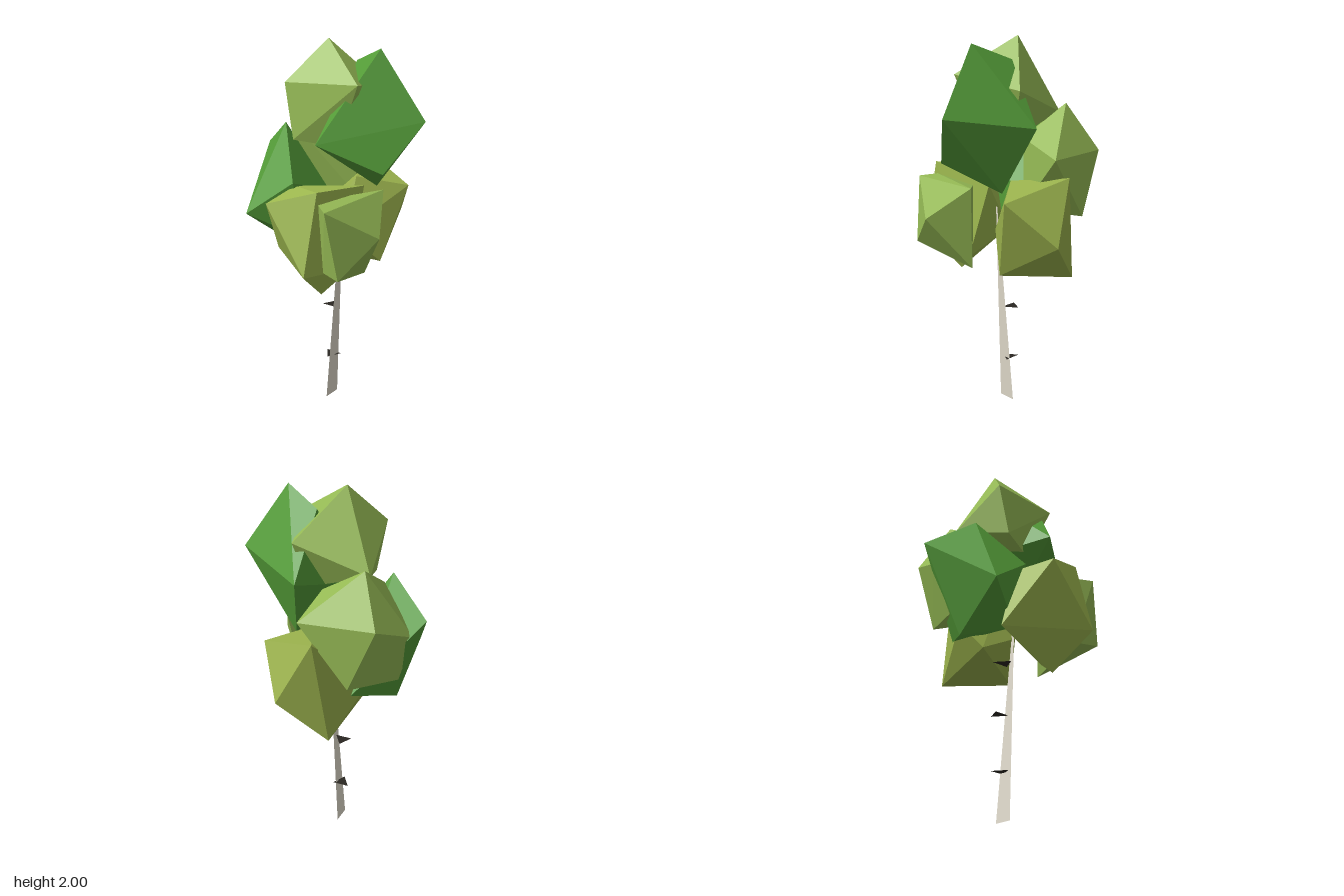
import * as THREE from 'three';
import { ConvexGeometry } from 'three/addons/geometries/ConvexGeometry.js';

const vectors = (points) => points.map((p) => new THREE.Vector3(...p));

// Thin triangle or quad, visible from both sides
function flatPiece(points, material, name) {
  const geometry = new THREE.BufferGeometry().setFromPoints(vectors(points));
  geometry.setIndex(points.length === 4 ? [0, 1, 2, 0, 2, 3] : [0, 1, 2]);
  const flat = geometry.toNonIndexed();
  flat.computeVertexNormals();
  const mesh = new THREE.Mesh(flat, material);
  mesh.name = name;
  return mesh;
}

// Corner points of each faceted leaf clump
const clumps = {
  upperLeftFoliage: { color: 0x549c38, points: [
    [0.23, 1.97, 0.08], [0.458, 1.63, 0.145], [-0.07, 1.525, 0.26], [0.26, 1.38, 0.235],
    [0.22, 1.57, -0.25], [0.21, 1.235, -0.07], [0.1, 1.89, -0.085], [-0.03, 1.5, -0.08]] },
  crownFoliage: { color: 0x96bb55, points: [
    [-0.045, 2, -0.07], [-0.255, 1.79, 0.03], [0.13, 1.81, 0.21], [-0.14, 1.61, -0.27],
    [0.225, 1.75, -0.165], [-0.21, 1.505, 0.07], [0.02, 1.48, 0.1], [0.14, 1.5, -0.1]] },
  backFoliage: { color: 0x96bb55, points: [
    [-0.11, 1.66, -0.31], [-0.145, 1.42, -0.48], [-0.355, 1.3, -0.3], [-0.3, 1.02, -0.22],
    [0.215, 1.42, -0.345], [-0.225, 1.53, -0.14], [-0.02, 1.09, -0.43], [0.1, 1.15, -0.15],
    [0.08, 1.5, -0.14]] },
  lowerLeftFoliage: { color: 0x99b04c, points: [
    [0.375, 1.225, -0.135], [0.33, 1.01, -0.395], [0.235, 0.81, -0.065], [0.15, 1.325, -0.4],
    [0.07, 0.785, -0.405], [-0.16, 1.03, -0.22], [-0.15, 0.88, -0.09], [0.1, 1.28, -0.08],
    [0.05, 1, 0.02]] },
  rightFoliage: { color: 0x549c38, points: [
    [-0.275, 1.56, -0.095], [-0.41, 1.4, -0.33], [-0.463, 1.105, 0.09], [-0.305, 0.89, -0.16],
    [-0.05, 0.98, -0.3], [-0.2, 1.3, 0.16], [-0.15, 0.97, 0.08], [-0.05, 1.2, -0.1]] },
  frontRightFoliage: { color: 0x9fba50, points: [
    [-0.045, 1.325, 0.39], [-0.305, 1.245, 0.34], [-0.1, 0.915, 0.48], [-0.045, 0.735, 0.25],
    [-0.3, 0.915, 0.06], [-0.2, 1.27, 0.1], [0.1, 0.85, 0.15], [0.15, 1.26, 0.02]] },
  frontLeftFoliage: { color: 0x94b854, points: [
    [0, 1.25, 0.47], [-0.04, 1.26, 0.38], [0.255, 1.26, 0.08], [0.255, 1.08, 0.33],
    [0.065, 0.9, 0.465], [0.165, 0.81, 0.11], [-0.02, 0.9, 0.36], [0.02, 1.23, 0.15]] },
};

export function createModel() {
  const tree = new THREE.Group();
  tree.name = 'tree';

  // Flat tapering trunk
  const bark = new THREE.MeshStandardMaterial({ color: 0xe2dccd, side: THREE.DoubleSide });
  tree.add(flatPiece([[-0.05, 0, 0.022], [0, 0, -0.065], [0.04, 1.12, 0.013], [0.03, 1.12, 0.023]], bark, 'trunk'));

  // Small dark shelves of bark on the back of the trunk
  const darkBark = new THREE.MeshStandardMaterial({ color: 0x2a2722, side: THREE.DoubleSide });
  const across = new THREE.Vector3(0.82, 0, -0.57);
  const outward = new THREE.Vector3(-0.57, 0, -0.82);
  [[0.25, 0, 0.08], [0.55, 0.08, 0], [0.84, 0.01, 0.1]].forEach(([y, side, apex]) => {
    const centre = new THREE.Vector3(-0.022 + 0.046 * y, y, -0.02 + 0.032 * y);
    const corners = [[0.043, side], [-0.043, side], [0, apex]].map(([a, o]) =>
      centre.clone().addScaledVector(across, a).addScaledVector(outward, o).toArray());
    tree.add(flatPiece(corners, darkBark, 'barkMark'));
  });

  // Faceted leaf clumps
  for (const [name, { color, points }] of Object.entries(clumps)) {
    const material = new THREE.MeshStandardMaterial({ color, flatShading: true });
    const clump = new THREE.Mesh(new ConvexGeometry(vectors(points)), material);
    clump.name = name;
    tree.add(clump);
  }
  return tree;
}
